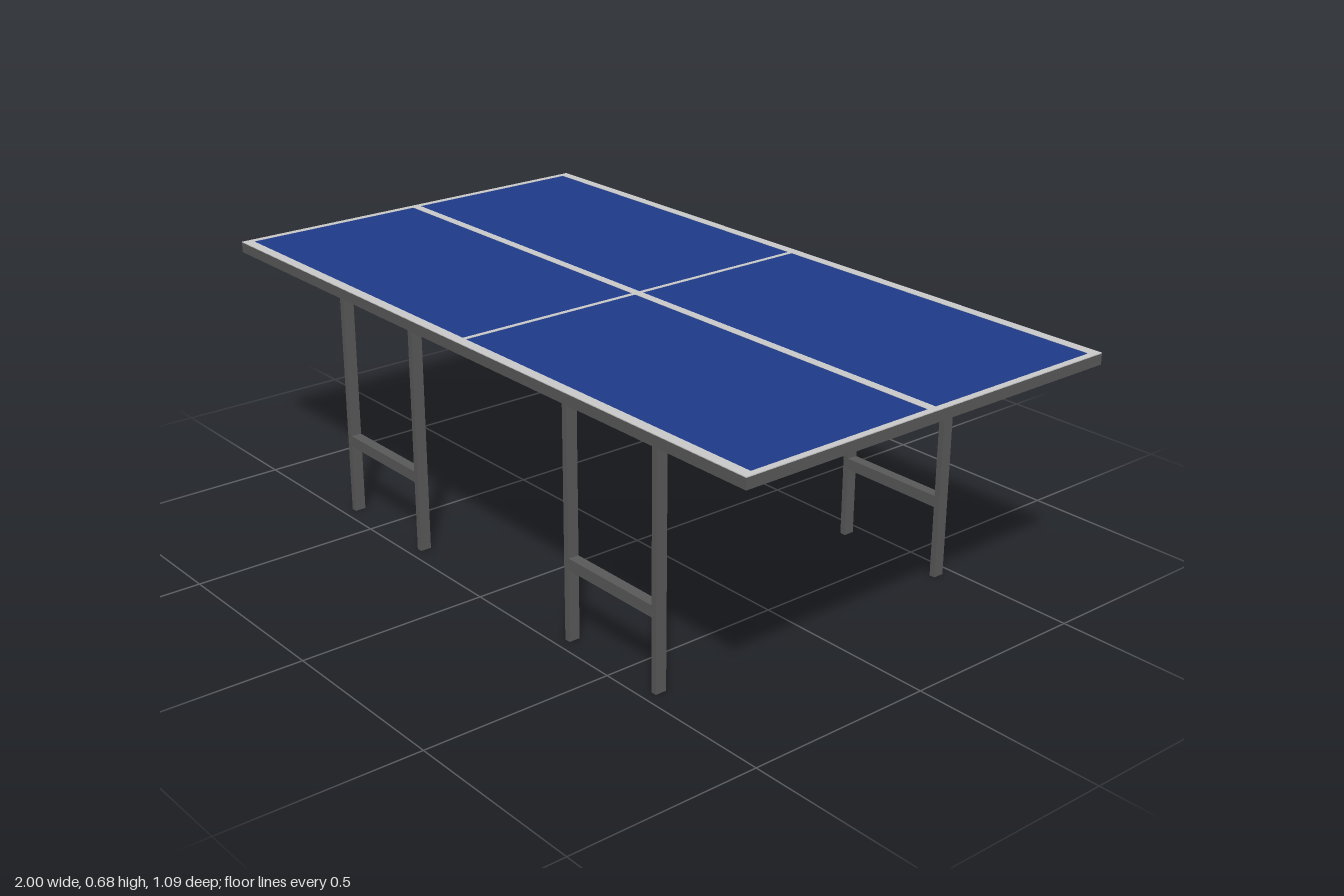
import * as THREE from 'three';

const FRAME = new THREE.MeshStandardMaterial({ color: 0x5a5a5a });
const BLUE = new THREE.MeshStandardMaterial({ color: 0x1e3a8a });
const WHITE = new THREE.MeshStandardMaterial({ color: 0xc4c4c8 });

const LENGTH = 2, WIDTH = 1.094, TOP = 0.68, UNDER = 0.651;

function box(parent, name, material, size, position) {
  const mesh = new THREE.Mesh(new THREE.BoxGeometry(...size), material);
  mesh.name = name;
  mesh.position.set(...position);
  parent.add(mesh);
  return mesh;
}

// Slab with a blue playing surface and thin painted lines
function createTabletop() {
  const top = new THREE.Group();
  top.name = 'tabletop';
  const slabH = TOP - 0.002 - UNDER;
  box(top, 'slab', FRAME, [LENGTH, slabH, WIDTH], [0, UNDER + slabH / 2, 0]);
  box(top, 'playingSurface', BLUE, [LENGTH - 0.01, 0.001, WIDTH - 0.01], [0, TOP - 0.0015, 0]);

  const y = TOP - 0.001, h = 0.002, side = 0.027, end = 0.017;
  for (const s of [-1, 1]) {
    box(top, 'sideLine', WHITE, [LENGTH, h, side], [0, y, s * (WIDTH - side) / 2]);
    box(top, 'endLine', WHITE, [end, h, WIDTH - 2 * side], [s * (LENGTH - end) / 2, y, 0]);
    // The centre line is split where the cross line passes
    const half = LENGTH / 2 - end - 0.006;
    box(top, 'centreLine', WHITE, [half, h, 0.024], [s * (0.006 + half / 2), y, 0]);
  }
  box(top, 'crossLine', WHITE, [0.012, h, WIDTH - 2 * side], [0, y, 0]);
  return top;
}

// Two flat posts joined by a low rail
function createLegFrame() {
  const frame = new THREE.Group();
  frame.name = 'legFrame';
  const spacing = 0.316;
  for (const s of [-1, 1]) {
    box(frame, 'leg', FRAME, [0.016, UNDER, 0.03], [s * spacing / 2, UNDER / 2, 0]);
  }
  box(frame, 'rail', FRAME, [spacing, 0.03, 0.028], [0, 0.203, 0]);
  return frame;
}

export function createModel() {
  const model = new THREE.Group();
  model.name = 'gamesTable';
  model.add(createTabletop());
  for (const sx of [-1, 1]) {
    for (const sz of [-1, 1]) {
      const frame = createLegFrame();
      frame.position.set(sx * 0.471, 0, sz * 0.455);
      model.add(frame);
    }
  }
  return model;
}
